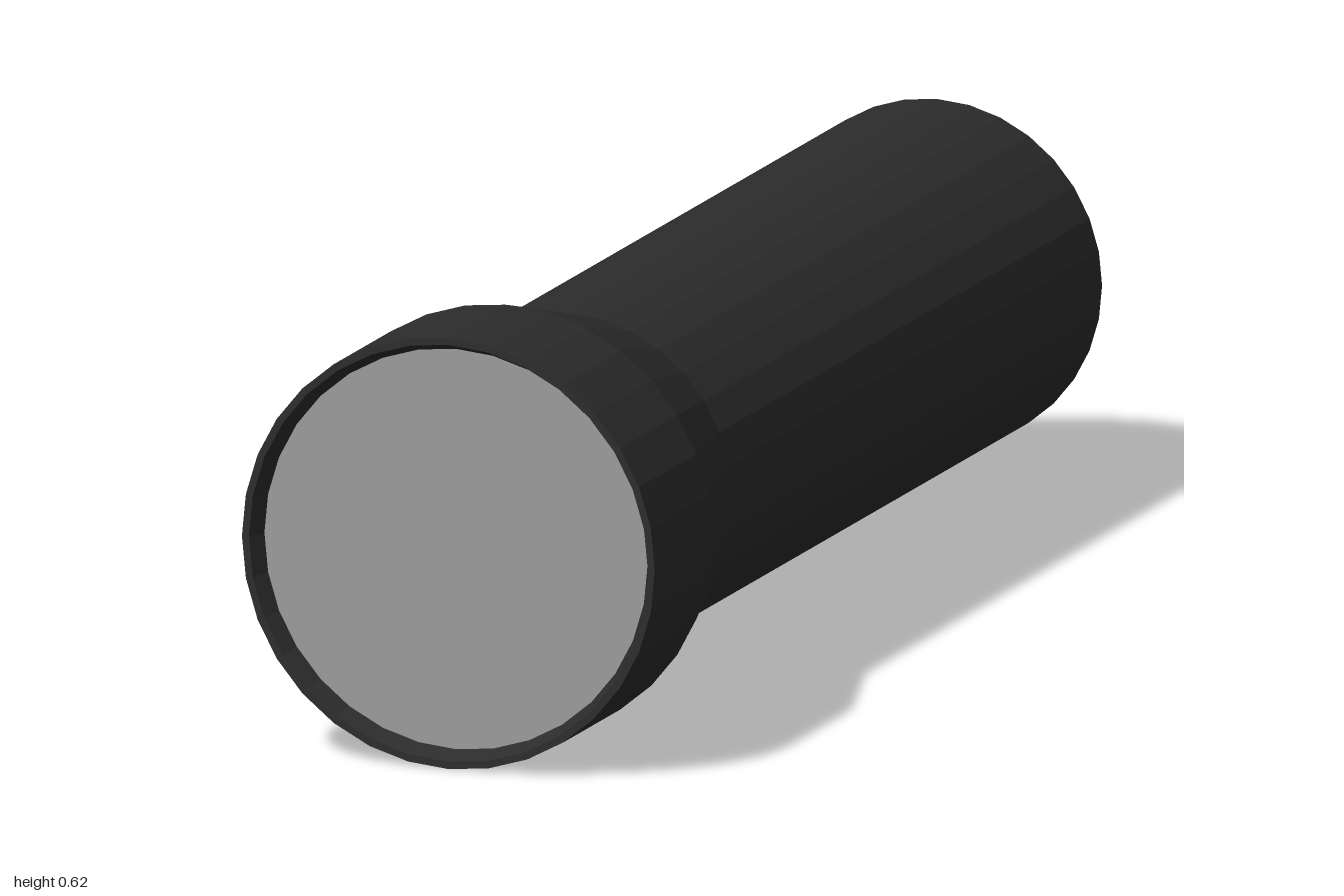
import * as THREE from 'three';

const SIDES = 32;
const CENTRE_Y = 0.3125;

// Faceted lathe about the z axis; profile points are [radius, z], back to front
function turned(name, profile, material) {
  const points = profile.map(([r, z]) => new THREE.Vector2(r, z));
  const geometry = new THREE.LatheGeometry(points, SIDES).toNonIndexed();
  geometry.rotateX(Math.PI / 2);
  geometry.computeVertexNormals();
  const mesh = new THREE.Mesh(geometry, material);
  mesh.name = name;
  return mesh;
}

export function createModel() {
  const casing = new THREE.MeshStandardMaterial({ color: 0x2c2c2c });
  casing.name = 'black casing';
  const glass = new THREE.MeshStandardMaterial({ color: 0x9c9c9c });
  glass.name = 'grey glass';

  const flashlight = new THREE.Group();
  flashlight.name = 'flashlight';

  // Chamfered tail cap, closed at the back
  flashlight.add(turned('tailCap', [[0, -1], [0.21, -1], [0.25, -0.92]], casing));
  // Straight grip
  flashlight.add(turned('handle', [[0.25, -0.92], [0.25, 0.535]], casing));
  // Flared head with a lip sloping in to the lens
  flashlight.add(turned('head', [
    [0.25, 0.535], [0.3125, 0.775], [0.3125, 1], [0.302, 1], [0.29, 0.97],
  ], casing));

  // Slightly recessed lens
  const lens = new THREE.Mesh(new THREE.CircleGeometry(0.29, SIDES), glass);
  lens.name = 'lens';
  lens.position.z = 0.97;
  flashlight.add(lens);

  flashlight.position.y = CENTRE_Y;
  const model = new THREE.Group();
  model.add(flashlight);
  return model;
}
